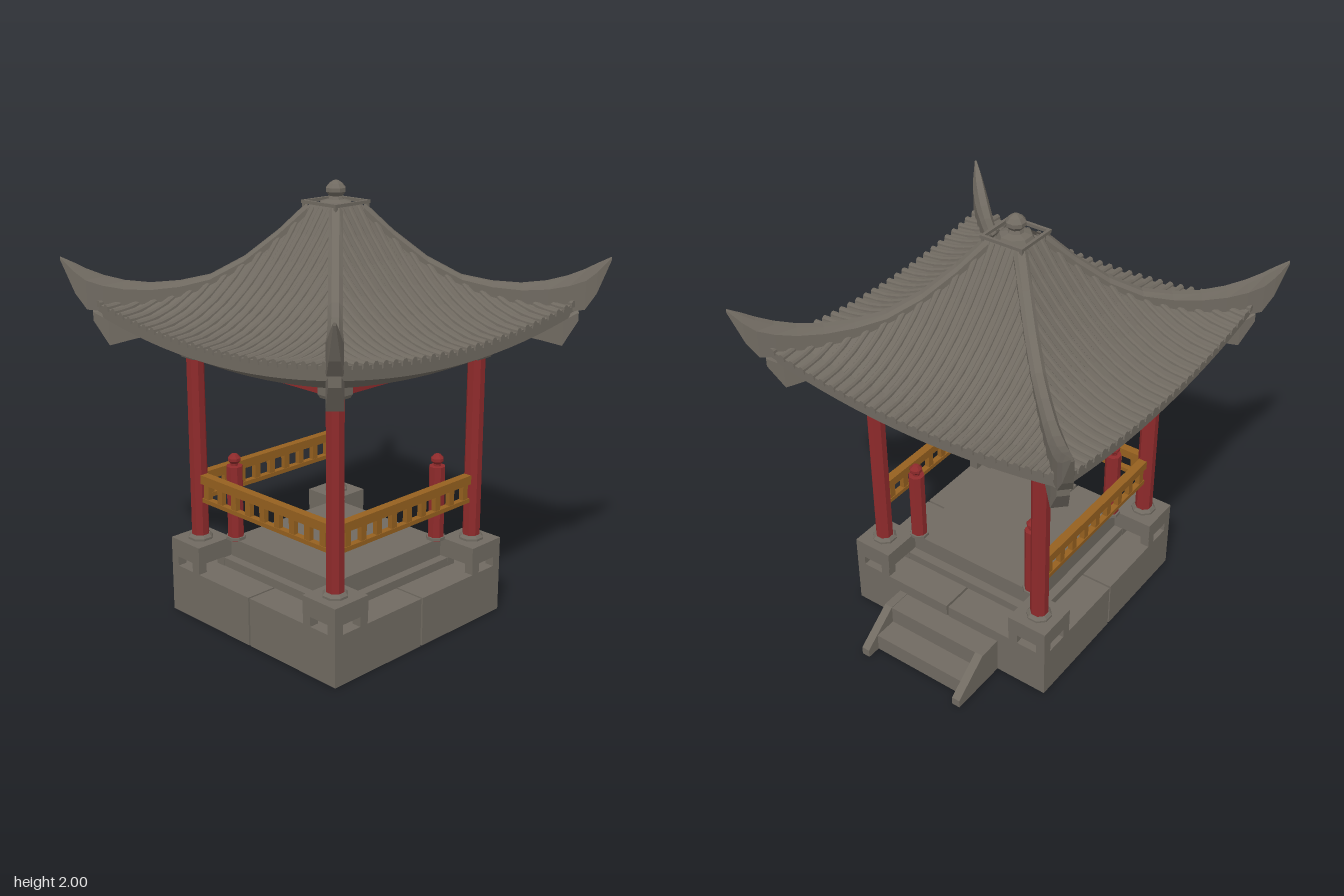
import * as THREE from 'three';

const stone = new THREE.MeshStandardMaterial({ color: 0x706a61, side: THREE.DoubleSide });
stone.name = 'grey stone and tile';
const red = new THREE.MeshStandardMaterial({ color: 0x8e2a2b });
red.name = 'red lacquer';
const ochre = new THREE.MeshStandardMaterial({ color: 0x95601f });
ochre.name = 'ochre wood';

const V = (x, y, z) => new THREE.Vector3(x, y, z);

function part(parent, name, geo, mat, x = 0, y = 0, z = 0) {
  const g = geo.index ? geo.toNonIndexed() : geo;
  g.computeVertexNormals();
  const m = new THREE.Mesh(g, mat);
  m.name = name;
  m.position.set(x, y, z);
  parent.add(m);
  return m;
}

// box given by its limits on each axis
function block(parent, name, mat, [x0, x1], [y0, y1], [z0, z1]) {
  return part(parent, name, new THREE.BoxGeometry(x1 - x0, y1 - y0, z1 - z0), mat,
    (x0 + x1) / 2, (y0 + y1) / 2, (z0 + z1) / 2);
}

// skin through cross-sections; a closed one gets end caps
function loft(sections, closed = true) {
  const out = [];
  const tri = (...ps) => ps.forEach((p) => out.push(p.x, p.y, p.z));
  const n = sections[0].length;
  for (let i = 0; i < sections.length - 1; i++) {
    const s = sections[i], e = sections[i + 1];
    for (let j = 0; j < (closed ? n : n - 1); j++) {
      const k = (j + 1) % n;
      tri(s[j], s[k], e[j]);
      tri(s[k], e[k], e[j]);
    }
  }
  if (closed) {
    const s = sections[0], e = sections[sections.length - 1];
    for (let j = 1; j < n - 1; j++) {
      tri(s[0], s[j + 1], s[j]);
      tri(e[0], e[j], e[j + 1]);
    }
  }
  const g = new THREE.BufferGeometry();
  g.setAttribute('position', new THREE.Float32BufferAttribute(out, 3));
  return g;
}

function lathe(points, sides) {
  const g = new THREE.LatheGeometry(points.map(([r, y]) => new THREE.Vector2(r, y)), sides);
  return g.rotateY(Math.PI / sides);
}

// roof surface: concave slope, lifted towards the corners
const lift = (d, w) => 0.08 * w * w * (d / 0.75) ** 2;
const slope = (d) => 1.395 + 0.47 * ((0.75 - d) / 0.65) ** 2;

function buildBase(root) {
  const base = new THREE.Group();
  base.name = 'base';
  root.add(base);
  for (const sx of [-1, 1]) for (const sz of [-1, 1]) {
    part(base, 'foundationBlock', new THREE.BoxGeometry(0.53, 0.23, 0.53), stone, sx * 0.27, 0.115, sz * 0.27);
    // corner pedestal on four short feet
    part(base, 'pedestal', new THREE.BoxGeometry(0.195, 0.085, 0.195), stone, sx * 0.4375, 0.3175, sz * 0.4375);
    for (const a of [0.365, 0.5125]) for (const b of [0.365, 0.5125])
      part(base, 'pedestalFoot', new THREE.BoxGeometry(0.045, 0.05, 0.045), stone, sx * a, 0.252, sz * b);
  }
  block(base, 'deckStep', stone, [-0.385, 0.385], [0.228, 0.27], [-0.385, 0.385]);
  block(base, 'deck', stone, [-0.342, 0.342], [0.27, 0.356], [-0.342, 0.342]);

  // stairs on the open side
  const side = new THREE.Shape();
  [[0.53, 0], [0.82, 0], [0.82, 0.04], [0.645, 0.175], [0.53, 0.175]]
    .forEach(([x, y], i) => (i ? side.lineTo(x, y) : side.moveTo(x, y)));
  for (const z of [-0.28, 0.24])
    part(base, 'stairCheek', new THREE.ExtrudeGeometry(side, { depth: 0.04, bevelEnabled: false }), stone, 0, 0, z);
  block(base, 'lowerStep', stone, [0.53, 0.755], [0, 0.085], [-0.24, 0.24]);
  block(base, 'upperStep', stone, [0.53, 0.645], [0.085, 0.172], [-0.24, 0.24]);
}

function buildPosts(root) {
  for (const sx of [-1, 1]) for (const sz of [-1, 1]) {
    const x = sx * 0.44, z = sz * 0.44;
    part(root, 'columnFoot', lathe([[0, 0.355], [0.058, 0.355], [0.058, 0.37], [0.046, 0.382], [0, 0.382]], 8), stone, x, 0, z);
    part(root, 'column', lathe([[0.041, 0.37], [0.041, 1.23]], 8), red, x, 0, z);
    part(root, 'capital', lathe([[0, 1.22], [0.06, 1.22], [0.07, 1.235], [0.07, 1.43], [0, 1.43]], 4), stone, x, 0, z);
    part(root, 'newelPost', lathe([[0.038, 0.35], [0.038, 0.71], [0.018, 0.712], [0.018, 0.722],
      [0.03, 0.735], [0.03, 0.748], [0.014, 0.765], [0, 0.767]], 8), red, sx * 0.325, 0, sz * 0.325);
    part(root, 'newelFoot', lathe([[0, 0.355], [0.046, 0.355], [0.046, 0.37], [0, 0.37]], 8), stone, sx * 0.325, 0, sz * 0.325);
  }
}

// one side's wood, made facing +z and turned
function buildSide(root, k) {
  const frame = new THREE.Group();
  frame.name = 'sideFrame';
  frame.rotation.y = k * Math.PI / 2;
  root.add(frame);
  block(frame, 'beam', red, [-0.4, 0.4], [1.228, 1.29], [0.415, 0.465]);
  for (const y of [1.325, 1.365])
    block(frame, 'latticeRail', red, [-0.4, 0.4], [y - 0.007, y + 0.007], [0.43, 0.45]);
  for (let i = 0; i < 9; i++) {
    const x = -0.36 + i * 0.09;
    block(frame, 'latticePost', red, [x - 0.008, x + 0.008], [1.285, 1.4], [0.432, 0.448]);
  }
  if (k === 1) return; // stair side stays open
  block(frame, 'handrail', ochre, [-0.405, 0.405], [0.635, 0.677], [0.42, 0.46]);
  block(frame, 'lowerRail', ochre, [-0.405, 0.405], [0.545, 0.565], [0.425, 0.455]);
  for (let i = 0; i < 9; i++) {
    const x = -0.376 + i * 0.094;
    block(frame, 'baluster', ochre, [x - 0.016, x + 0.016], [0.56, 0.64], [0.428, 0.452]);
  }
}

function buildRoof(root) {
  const roof = new THREE.Group();
  roof.name = 'roof';
  root.add(roof);

  // outer slope, eave boards, soffit and inner ceiling as one folded skin
  const ds = [0.08, 0.16, 0.25, 0.35, 0.45, 0.55, 0.65, 0.75];
  const rows = ds.map((d) => [d, slope(d)]);
  rows.push([0.75, 1.36], [0.738, 1.36], [0.738, 1.335], [0.62, 1.28], [0.45, 1.39]);
  [0.4, 0.3, 0.2, 0.08].forEach((d) => rows.push([d, slope(d) - 0.06]));
  const ws = Array.from({ length: 17 }, (_, i) => 1 - i / 8);
  const skin = loft(rows.map(([d, y]) => ws.map((w) => V(d * w, y + lift(d, w), d))), false);

  // rounded tile rows running down the slope
  const tile = [[0.016, -0.012], [0.013, 0.009], [0.006, 0.017], [-0.006, 0.017], [-0.013, 0.009], [-0.016, -0.012]];
  const tiles = [];
  for (let i = -13; i <= 13; i++) {
    const t = i * 0.054, d0 = Math.max(0.09, Math.abs(t) + 0.012), n = 8;
    const path = Array.from({ length: n + 1 }, (_, j) => d0 + (0.757 - d0) * j / n);
    tiles.push(loft(path.map((d) => tile.map(([x, y]) => V(t + x, slope(d) + lift(d, t / d) + y, d)))));
  }

  // hip ridge: distance along x, bottom, top, half width
  const hip = [[0.085, 1.82, 1.905, 0.03], [0.175, 1.72, 1.785, 0.03], [0.28, 1.6, 1.67, 0.03],
    [0.386, 1.52, 1.59, 0.03], [0.48, 1.475, 1.562, 0.03], [0.571, 1.45, 1.552, 0.031], [0.65, 1.438, 1.562, 0.034],
    [0.714, 1.434, 1.584, 0.034], [0.765, 1.44, 1.612, 0.03], [0.8, 1.51, 1.638, 0.022], [0.843, 1.655, 1.668, 0.005]];
  const rafter = [[0.42, 1.38, 1.45, 0.035], [0.635, 1.305, 1.42, 0.035], [0.7, 1.28, 1.43, 0.035], [0.748, 1.39, 1.44, 0.025]];
  const ridge = (list) => loft(list.map(([x, b, t, w]) => {
    const s = x * Math.SQRT2, c = t - (t - b) * 0.25;
    return [V(w, b, s), V(w, c, s), V(w / 2, t, s), V(-w / 2, t, s), V(-w, c, s), V(-w, b, s)];
  }));

  for (let k = 0; k < 4; k++) {
    const face = new THREE.Group();
    face.name = 'roofSide';
    face.rotation.y = k * Math.PI / 2;
    roof.add(face);
    part(face, 'roofSkin', skin, stone);
    tiles.forEach((g) => part(face, 'tileRow', g, stone));
    part(face, 'hipRidge', ridge(hip), stone).rotation.y = Math.PI / 4;
    part(face, 'hipRafter', ridge(rafter), stone).rotation.y = Math.PI / 4;
    // square frame around the finial
    block(face, 'crownBar', stone, [-0.105, 0.105], [1.9, 1.914], [0.091, 0.105]);
    block(face, 'crownPost', stone, [0.088, 0.102], [1.85, 1.905], [0.088, 0.102]);
  }

  block(roof, 'crownBlock', stone, [-0.095, 0.095], [1.79, 1.868], [-0.095, 0.095]);
  part(roof, 'finial', lathe([[0.09, 1.86], [0.085, 1.88], [0.07, 1.908], [0.035, 1.918], [0.028, 1.932],
    [0.045, 1.95], [0.045, 1.967], [0.03, 1.985], [0.012, 1.997], [0, 2]], 8), stone);
}

export function createModel() {
  const root = new THREE.Group();
  root.name = 'pavilion';
  buildBase(root);
  buildPosts(root);
  for (let k = 0; k < 4; k++) buildSide(root, k);
  buildRoof(root);
  return root;
}
